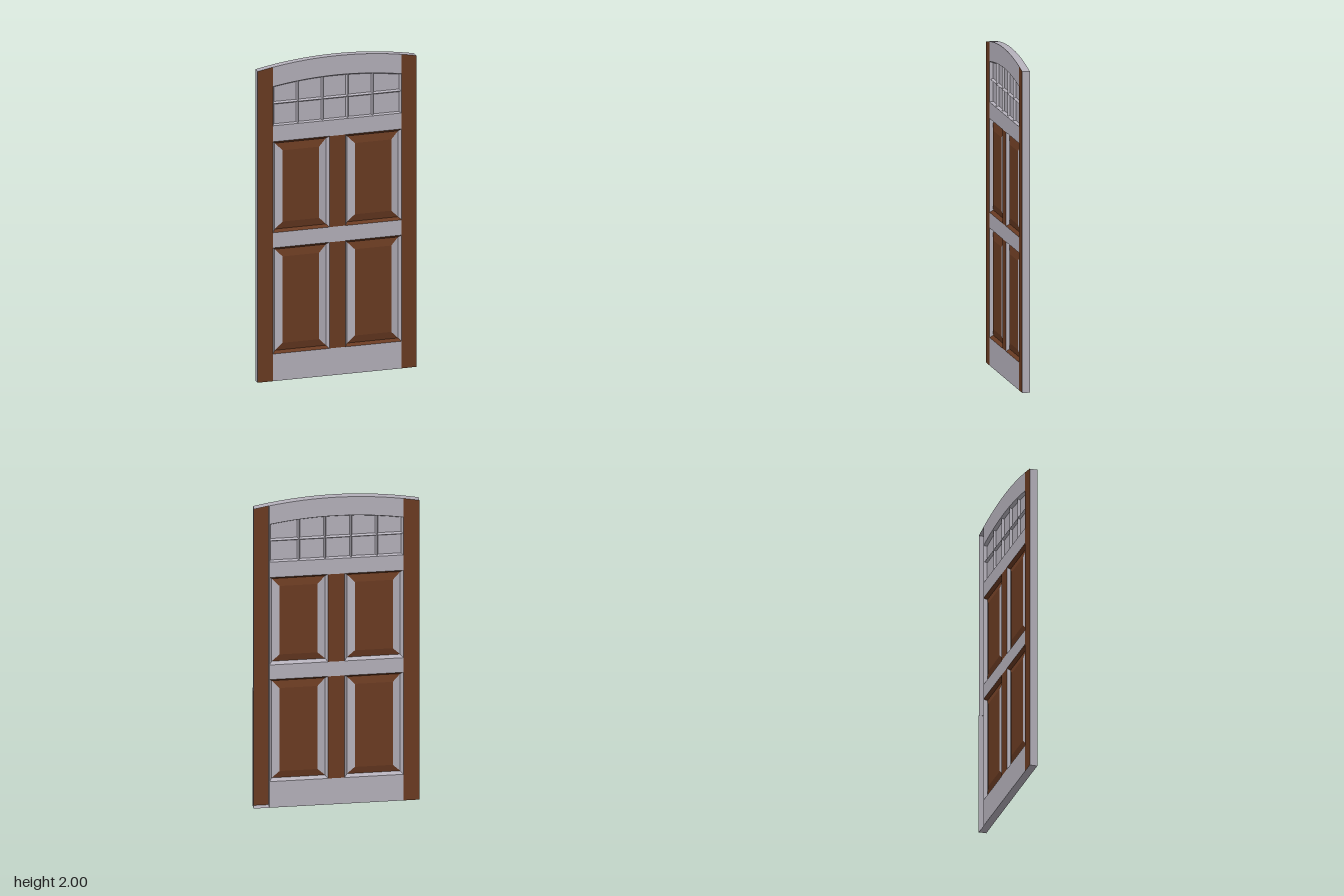
import * as THREE from 'three';

const D = 0.0235; // half thickness of the door
const ARC_Y = -0.525; // centre of the arched top
const R_TOP = 2.525, R_WIN = 2.405;
const arcY = (x, r) => ARC_Y + Math.sqrt(r * r - x * x);

const paint = (name, color) => {
  const m = new THREE.MeshStandardMaterial({ color, side: THREE.DoubleSide });
  m.name = name;
  return m;
};

// Points along an arc from x0 to x1
function arcPoints(x0, x1, r, n = 16) {
  return Array.from({ length: n + 1 }, (_, i) => {
    const x = x0 + ((x1 - x0) * i) / n;
    return [x, arcY(x, r)];
  });
}

const rect = (x0, y0, x1, y1) => [[x0, y0], [x1, y0], [x1, y1], [x0, y1]];
const toShape = (pts) => new THREE.Shape(pts.map(([x, y]) => new THREE.Vector2(x, y)));

// Flat shaded band between two outlines at two depths
function band(a, za, b, zb, closed = true) {
  const pos = [];
  const n = closed ? a.length : a.length - 1;
  for (let i = 0; i < n; i++) {
    const j = (i + 1) % a.length;
    const p = [...a[i], za], q = [...a[j], za], r = [...b[j], zb], s = [...b[i], zb];
    const corners = za >= zb ? [p, q, r, p, r, s] : [p, r, q, p, s, r];
    corners.forEach((c) => pos.push(...c));
  }
  const g = new THREE.BufferGeometry();
  g.setAttribute('position', new THREE.Float32BufferAttribute(pos, 3));
  g.computeVertexNormals();
  return g;
}

export function createModel() {
  const door = new THREE.Group();
  door.name = 'archedDoor';
  const brown = paint('brown wood', 0x6a3b22);
  const grey = paint('pale grey', 0xb4b0ba);

  function add(name, geometry, material, parent = door) {
    const mesh = new THREE.Mesh(geometry, material);
    mesh.name = name;
    parent.add(mesh);
    return mesh;
  }

  // Solid board with coloured faces and grey edges
  function board(name, pts, face) {
    const g = new THREE.ExtrudeGeometry(toShape(pts), { depth: 2 * D, bevelEnabled: false });
    g.translate(0, 0, -D);
    add(name, g, [face, grey]);
  }

  // Flat face at a given depth, facing front or back
  function face(name, pts, z, material, parent) {
    const g = new THREE.ShapeGeometry(toShape(pts));
    if (z < 0) g.rotateY(Math.PI).scale(-1, 1, 1);
    if (z < 0) g.index.array.reverse();
    g.translate(0, 0, z);
    g.computeVertexNormals();
    if (z < 0) for (let i = 0; i < g.attributes.normal.count; i++) g.attributes.normal.setXYZ(i, 0, 0, -1);
    add(name, g, material, parent);
  }

  // Right stile is solid; left stile is a shell open at the back
  board('rightStile', [[-0.5, 0], [-0.403, 0], ...arcPoints(-0.403, -0.5, R_TOP, 4)], brown);
  const shell = [[0.403, 0], [0.498, 0], [0.498, 0.77], [0.496, 0.77], ...arcPoints(0.496, 0.403, R_TOP, 4)];
  add('leftStileEdges', band(shell, D, shell, -D), grey);
  face('leftStileFront', shell, D, brown);

  // Rails and arched head
  board('bottomRail', rect(-0.403, 0, 0.403, 0.17), grey);
  board('middleRail', rect(-0.403, 0.835, 0.403, 0.93), grey);
  board('upperRail', rect(-0.403, 1.5, 0.403, 1.6), grey);
  board('archedHead', [...arcPoints(-0.403, 0.403, R_WIN), ...arcPoints(0.403, -0.403, R_TOP)], grey);

  // Raised panels and the post between them
  const inset = ([x0, y0, x1, y1], d) => rect(x0 + d, y0 + d, x1 - d, y1 - d);
  for (const [y0, y1] of [[0.17, 0.835], [0.93, 1.5]]) {
    board('centrePost', rect(-0.05, y0, 0.05, y1), brown);
    for (const [x0, x1] of [[-0.403, -0.05], [0.05, 0.403]]) {
      const panel = new THREE.Group();
      panel.name = 'raisedPanel';
      door.add(panel);
      const r = [x0, y0, x1, y1];
      const outer = inset(r, 0), valley = inset(r, 0.016), field = inset(r, 0.062);
      for (const s of [1, -1]) {
        for (let i = 0; i < 4; i++) {
          const pick = (o) => [o[i], o[(i + 1) % 4]];
          const wood = i % 2 === 0 ? brown : grey;
          const ledge = s < 0 && i === 0 ? grey : wood;
          add('moulding', band(pick(outer), s * D, pick(valley), s * 0.0045, false), ledge, panel);
          add('bevel', band(pick(valley), s * 0.0045, pick(field), s * 0.0155, false), wood, panel);
        }
        face('field', field, s * 0.0155, brown, panel);
      }
    }
  }

  // Window: pane, sloped surround and glazing bars
  const outline = (d) => [
    [-0.403 + d, 1.6 + d * 0.6], [0.403 - d, 1.6 + d * 0.6],
    ...arcPoints(0.403 - d, -0.403 + d, R_WIN - d),
  ];
  for (const s of [1, -1]) {
    face('pane', outline(0.01), s * 0.004, grey);
    add('windowSurround', band(outline(0), s * D, outline(0.01), s * 0.004), grey);
  }
  const bar = (length) => new THREE.CylinderGeometry(0.011, 0.011, length, 4).toNonIndexed().scale(1, 1, 1.7);
  for (const x of [-0.245, -0.089, 0.067, 0.225]) {
    const top = arcY(x, R_WIN);
    const g = bar(top - 1.6);
    g.computeVertexNormals();
    add('verticalBar', g, grey).position.set(x, (top + 1.6) / 2, 0);
  }
  const cross = bar(0.806).rotateZ(Math.PI / 2);
  cross.computeVertexNormals();
  add('crossBar', cross, grey).position.y = 1.737;

  return door;
}
